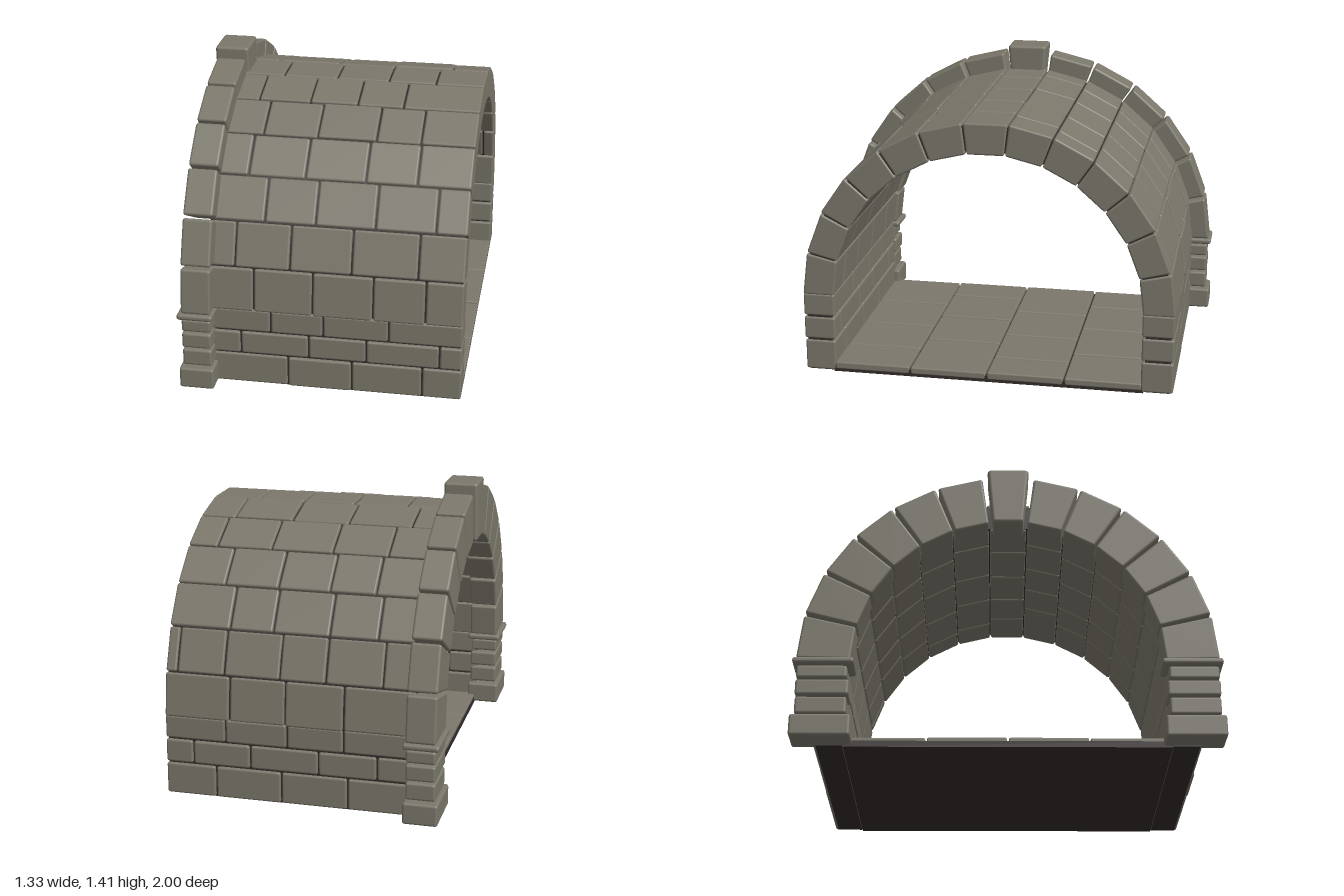
import * as THREE from 'three';
import { RoundedBoxGeometry } from 'three/addons/geometries/RoundedBoxGeometry.js';

const SPRING = 0.39;            // height where the arch begins
const COUNT = 13;               // stones around the arch
const STEP = Math.PI / COUNT;
const X0 = -0.54, X1 = 0.665;   // tunnel ends
const GAP = 0.008;

const stone = new THREE.MeshStandardMaterial({ color: 0x7b776b });
stone.name = 'stone';
const mortar = new THREE.MeshStandardMaterial({ color: 0x332b2a });
mortar.name = 'mortar';

let seed = 7;
function rand() {
  seed = (seed * 16807) % 2147483647;
  return seed / 2147483647;
}

// Rounded block given by its limits on each axis
function block(group, name, x0, x1, y0, y1, z0, z1, bevel = 0.01) {
  const geo = new RoundedBoxGeometry(x1 - x0, y1 - y0, z1 - z0, 2, bevel);
  const mesh = new THREE.Mesh(geo, stone);
  mesh.position.set((x0 + x1) / 2, (y0 + y1) / 2, (z0 + z1) / 2);
  mesh.name = name;
  group.add(mesh);
}

// Wedge-shaped arch stone; angle is measured from the +z springing upward
function wedge(group, name, x0, x1, r0, r1, angle, half, gap, bevel = 0.01) {
  const mid = (r0 + r1) / 2;
  const geo = new RoundedBoxGeometry(x1 - x0, r1 - r0, 2 * mid * Math.tan(half) - gap, 2, bevel);
  const p = geo.attributes.position;
  for (let i = 0; i < p.count; i++) {
    p.setZ(i, p.getZ(i) * (mid + p.getY(i)) / mid);
  }
  geo.translate((x0 + x1) / 2, mid, 0);
  const mesh = new THREE.Mesh(geo, stone);
  mesh.rotation.x = Math.PI / 2 - angle;
  mesh.position.y = SPRING;
  mesh.name = name;
  group.add(mesh);
}

// Splits a course at its joints and calls back with the limits of each stone
function course(joints, make) {
  const edges = [X0, ...joints, X1];
  for (let i = 0; i < edges.length - 1; i++) {
    const last = i === edges.length - 2;
    make(edges[i] + GAP / 2, edges[i + 1] - (last ? 0 : GAP / 2));
  }
}

// Joints of the straight wall courses, from the ground up
const WALL_ROWS = [[0, 0.16], [0.16, 0.28], [0.28, 0.4]];
const WALL_JOINTS = {
  1: [[-0.16, 0.145, 0.48], [-0.385, -0.06, 0.215, 0.56], [-0.24, 0.01, 0.32]],
  '-1': [[-0.22, 0.1, 0.42], [-0.36, -0.08, 0.25, 0.53], [-0.2, 0.07, 0.37]],
};
// Joints of the vault courses, from the +z springing over the crown to -z
const VAULT_JOINTS = [
  [-0.32, -0.04, 0.245, 0.49],
  [-0.41, -0.15, 0.14, 0.45],
  [-0.28, -0.04, 0.24, 0.52],
  [-0.38, -0.11, 0.175, 0.415],
  [-0.34, -0.08, 0.2, 0.41],
  [-0.4, -0.15, 0.08, 0.3],
  [-0.32, -0.055, 0.2, 0.43],
  [-0.39, -0.08, 0.2, 0.49],
  [-0.32, -0.05, 0.25, 0.52],
  [-0.3, -0.08, 0.17, 0.43],
  [-0.34, -0.11, 0.16, 0.37],
  [-0.38, -0.11, 0.11, 0.38, 0.61],
  [-0.2, 0.08, 0.35],
];

function makeTunnel() {
  const tunnel = new THREE.Group();
  tunnel.name = 'tunnel';

  // Dark core behind the joints
  const ro = 0.886, ri = 0.764;
  const shape = new THREE.Shape();
  shape.moveTo(ro, 0.004);
  shape.lineTo(ro, SPRING);
  shape.absarc(0, SPRING, ro, 0, Math.PI, false);
  shape.lineTo(-ro, 0.004);
  shape.lineTo(-ri, 0.004);
  shape.lineTo(-ri, SPRING);
  shape.absarc(0, SPRING, ri, Math.PI, 0, true);
  shape.lineTo(ri, 0.004);
  const coreGeo = new THREE.ExtrudeGeometry(shape, {
    depth: X1 - X0 - 0.008, bevelEnabled: false, curveSegments: 26,
  });
  coreGeo.rotateY(Math.PI / 2);
  const core = new THREE.Mesh(coreGeo, mortar);
  core.position.x = X0;
  core.name = 'mortarCore';
  tunnel.add(core);

  // Straight side walls
  for (const side of [1, -1]) {
    WALL_ROWS.forEach(([y0, y1], row) => {
      course(WALL_JOINTS[side][row], (a, b) => {
        const out = 0.9 + (rand() - 0.5) * 0.006;
        const z = [side * 0.748, side * out].sort((m, n) => m - n);
        block(tunnel, 'wallStone', a, b, y0 + 0.006, y1 - 0.003, z[0], z[1]);
      });
    });
  }

  // Barrel vault
  VAULT_JOINTS.forEach((joints, i) => {
    course(joints, (a, b) => {
      const out = 0.898 + (rand() - 0.5) * 0.008;
      wedge(tunnel, 'vaultStone', a, b, 0.745, out, (i + 0.5) * STEP, STEP / 2, 0.006);
    });
  });
  return tunnel;
}

function makeFloor() {
  const floor = new THREE.Group();
  floor.name = 'floor';
  const base = new THREE.Mesh(new THREE.BoxGeometry(X1 - X0 - 0.004, 0.03, 1.52), mortar);
  base.position.set((X0 + X1) / 2, 0.015, 0);
  base.name = 'floorBase';
  floor.add(base);
  const joints = [
    [-0.3, 0.02, 0.36],
    [-0.16, 0.17, 0.47],
    [-0.34, -0.03, 0.29],
    [-0.2, 0.12, 0.42],
  ];
  joints.forEach((row, i) => {
    const z = -0.756 + i * 0.378;
    course(row, (a, b) => {
      block(floor, 'floorSlab', a, b, 0.012, 0.047 + rand() * 0.003, z + 0.004, z + 0.374, 0.008);
    });
  });
  return floor;
}

function makePortal() {
  const portal = new THREE.Group();
  portal.name = 'portal';

  // Arch ring with a larger keystone
  for (let i = 0; i < COUNT; i++) {
    const angle = (i + 0.5) * STEP;
    if (i === (COUNT - 1) / 2) {
      wedge(portal, 'keystone', -0.665, -0.5, 0.73, 1.022, angle, 0.099, 0, 0.014);
    } else {
      wedge(portal, 'archStone', -0.65, -0.508, 0.728, 0.98, angle, STEP / 2, 0.012, 0.012);
    }
  }

  // Pillars: x limits, y limits, z limits of each layer
  const layers = [
    ['pillarBase', -0.665, -0.5, 0.008, 0.112, 0.72, 1.0, 0.012],
    ['pillarStone', -0.65, -0.51, 0.121, 0.205, 0.742, 0.98, 0.012],
    ['pillarStone', -0.65, -0.51, 0.215, 0.292, 0.735, 0.982, 0.012],
    ['pillarStone', -0.65, -0.51, 0.3, 0.362, 0.745, 0.98, 0.012],
    ['pillarLedge', -0.668, -0.498, 0.368, 0.398, 0.715, 1.0, 0.013],
  ];
  for (const [name, x0, x1, y0, y1, zi, zo, bevel] of layers) {
    block(portal, name, x0, x1, y0, y1, zi, zo, bevel);
    block(portal, name, x0, x1, y0, y1, -zo, -zi, bevel);
  }
  return portal;
}

export function createModel() {
  const model = new THREE.Group();
  model.name = 'stoneTunnel';
  model.add(makeTunnel(), makeFloor(), makePortal());
  return model;
}
